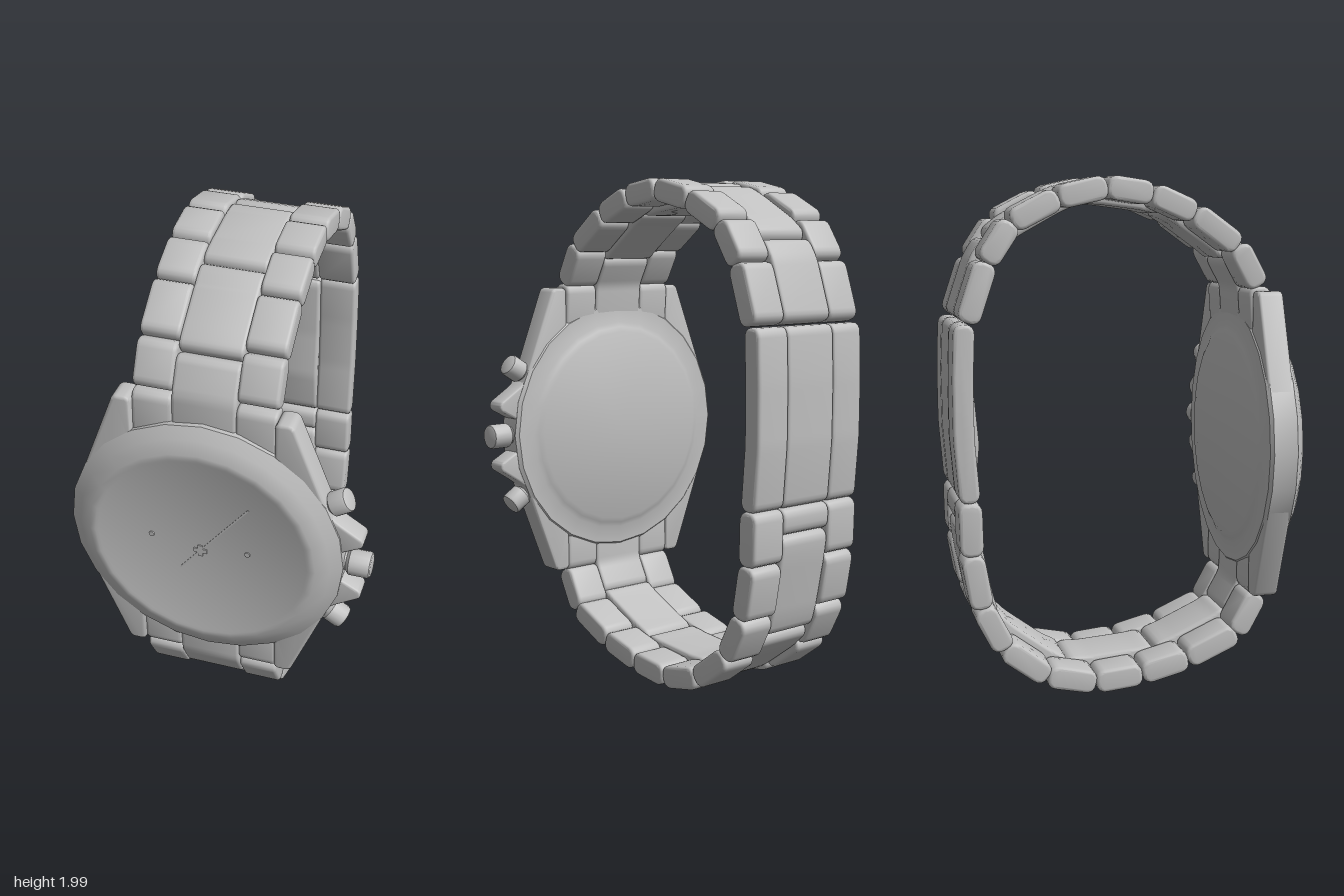
import * as THREE from 'three';
import { toCreasedNormals } from 'three/addons/utils/BufferGeometryUtils.js';

const steel = new THREE.MeshStandardMaterial({ name: 'steel', color: 0xc0c0c0 });
const CX = -0.046, CY = 0.97, CZ = 0.55; // middle of the watch case

function addMesh(parent, name, geometry, crease = 0.7) {
  const mesh = new THREE.Mesh(toCreasedNormals(geometry, crease), steel);
  mesh.name = name;
  parent.add(mesh);
  return mesh;
}

// Closed outline with every corner rounded by r
function roundedShape(pts, r) {
  const shape = new THREE.Shape();
  pts.forEach((p, i) => {
    const prev = pts[(i + pts.length - 1) % pts.length], next = pts[(i + 1) % pts.length];
    const toward = q => p.clone().lerp(q, Math.min(0.4, r / p.distanceTo(q)));
    const a = toward(prev), b = toward(next);
    if (i) shape.lineTo(a.x, a.y); else shape.moveTo(a.x, a.y);
    shape.quadraticCurveTo(p.x, p.y, b.x, b.y);
  });
  shape.closePath();
  return shape;
}

function extrude(shape, depth, bevel) {
  const g = new THREE.ExtrudeGeometry(shape, {
    depth: depth - 2 * bevel, bevelThickness: bevel, bevelSize: bevel, bevelSegments: 3, curveSegments: 4,
  });
  return g.translate(0, 0, bevel - depth / 2);
}

// Bracelet piece: a (z, y) centre line thickened and extruded along x
const BEVEL = 0.013;
function addLink(parent, name, line, x, width, thickness = 0.09) {
  const outer = [], inner = [], last = line.length - 1, h = thickness / 2 - BEVEL;
  line.forEach((p, i) => {
    const dir = line[Math.min(i + 1, last)].clone().sub(line[Math.max(i - 1, 0)]).normalize();
    const n = new THREE.Vector2(-dir.y, dir.x);
    if (n.dot(new THREE.Vector2(p.x, p.y - 1)) < 0) n.negate();
    const c = p.clone().addScaledVector(dir, i === 0 ? BEVEL : i === last ? -BEVEL : 0);
    outer.push(c.clone().addScaledVector(n, h));
    inner.unshift(c.clone().addScaledVector(n, -h));
  });
  const g = extrude(roundedShape([...outer, ...inner], 0.026), width, BEVEL);
  addMesh(parent, name, g.rotateY(-Math.PI / 2).translate(x, 0, 0));
}

const v = ([z, y]) => new THREE.Vector2(z, y);
const CENTER_W = 0.238, SIDE_W = 0.15, SIDE_X = 0.193;

// Half bracelet from the case to the clasp: two side rows, long centre links staggered against them
function addStrap(parent, name, anchor, joints) {
  const strap = new THREE.Group();
  strap.name = name;
  parent.add(strap);
  const J = joints.map(v), start = v(anchor);
  const mid = i => J[i].clone().lerp(J[i + 1], i === 0 ? 0.8 : 0.5);
  for (const s of [-1, 1]) {
    addLink(strap, 'sideEndLink', [start, J[0]], CX + s * SIDE_X, SIDE_W);
    for (let i = 0; i + 1 < J.length; i++)
      addLink(strap, 'sideLink', [J[i], J[i + 1]], CX + s * SIDE_X, SIDE_W);
  }
  addLink(strap, 'centerEndLink', [start, J[0], mid(0)], CX, CENTER_W);
  for (let i = 0; i + 1 < J.length; i += 2) {
    if (i + 3 < J.length) {
      // centre links are flatter than the side links they span
      const a = mid(i), b = mid(i + 2);
      const bend = (p, t) => p.clone().lerp(a.clone().lerp(b, t), 0.65);
      addLink(strap, 'centerLink', [a, bend(J[i + 1], 0.25), bend(J[i + 2], 0.75), b], CX, CENTER_W);
    } else addLink(strap, 'centerLink', [mid(i), ...J.slice(i + 1)], CX, CENTER_W);
  }
}

// Round bar with a softened end, pointing along an angle in the front plane and ending at (x, y)
function addButton(parent, name, x, y, angle, radius, length) {
  const b = 0.012;
  const profile = [[0, 0], [radius - b, 0], [radius, b], [radius, length - b],
    [radius - b * 0.3, length - b * 0.3], [radius - b, length], [0, length]];
  const g = new THREE.LatheGeometry(profile.map(v), 16).translate(0, -length, 0);
  g.rotateZ(angle - Math.PI / 2).translate(x, y, CZ);
  addMesh(parent, name, g);
}

export function createModel() {
  const watch = new THREE.Group();
  watch.name = 'wristwatch';

  // Bracelet
  addStrap(watch, 'upperStrap', [0.545, 1.38], [[0.53, 1.58], [0.445, 1.735], [0.275, 1.858], [0.11, 1.93],
    [-0.065, 1.956], [-0.25, 1.915], [-0.425, 1.825], [-0.52, 1.68], [-0.593, 1.46]]);
  addStrap(watch, 'lowerStrap', [0.545, 0.55], [[0.545, 0.365], [0.46, 0.208], [0.26, 0.118], [0.075, 0.07],
    [-0.11, 0.05], [-0.30, 0.088], [-0.465, 0.21], [-0.55, 0.375], [-0.587, 0.58], [-0.592, 0.785]]);

  // Folding clasp, in three strips with an inner leaf
  const clasp = new THREE.Group();
  clasp.name = 'clasp';
  watch.add(clasp);
  const claspLine = [[-0.605, 1.455], [-0.613, 1.25], [-0.612, 1.03], [-0.592, 0.785]].map(v);
  for (const s of [-1, 1]) addLink(clasp, 'claspSide', claspLine, CX + s * SIDE_X, SIDE_W, 0.08);
  addLink(clasp, 'claspCenter', claspLine, CX, CENTER_W, 0.078);
  const leafLine = [[-0.575, 1.44], [-0.575, 1.18], [-0.557, 0.98], [-0.575, 0.8]].map(v);
  addLink(clasp, 'claspLeaf', leafLine, CX, CENTER_W, 0.045);

  // Case plate with four tapered lugs
  const right = [[0.277, 0.4], [0.277, 0.583], [0.323, 0.583], [0.47, 0.2], [0.505, 0],
    [0.47, -0.2], [0.323, -0.583], [0.277, -0.583], [0.277, -0.4]];
  const left = right.map(([x, y]) => [-x, y]).reverse();
  const plate = extrude(roundedShape([...right, ...left].map(v), 0.012), 0.1, 0.012);
  addMesh(watch, 'caseWithLugs', plate.translate(CX, CY, CZ));

  // Round case: back cover, band, sloped bezel and glass
  const profile = [[0, 0.475], [0.405, 0.475], [0.425, 0.484], [0.445, 0.492], [0.515, 0.495], [0.528, 0.507],
    [0.528, 0.6], [0.485, 0.628], [0.437, 0.654], [0.415, 0.655], [0.405, 0.652], [0, 0.652]];
  const disc = new THREE.LatheGeometry(profile.map(v), 24).rotateX(Math.PI / 2);
  addMesh(watch, 'roundCase', disc.translate(CX, CY, 0));

  // Hands and pins on the face
  const hand = new THREE.BoxGeometry(0.006, 0.43, 0.004).translate(0, 0.085, 0).rotateZ(-0.67);
  addMesh(watch, 'secondHand', hand.translate(CX, CY, 0.652));
  for (const [x, y] of [[-0.235, 1.005], [0.135, 0.995]])
    addMesh(watch, 'handPin', new THREE.CylinderGeometry(0.011, 0.011, 0.009, 10).rotateX(Math.PI / 2).translate(x, y, 0.652));
  for (const turn of [0, Math.PI / 2])
    addMesh(watch, 'hubCross', new THREE.BoxGeometry(0.05, 0.018, 0.009).rotateZ(turn).translate(CX, CY, 0.652));

  // Crown, pushers and crown guards
  addButton(watch, 'crownStem', 0.5, CY, 0, 0.035, 0.08);
  addButton(watch, 'crown', 0.578, CY, 0, 0.05, 0.092);
  for (const s of [-1, 1]) {
    addButton(watch, 'pusherStem', 0.45, CY + s * 0.272, s * 0.57, 0.03, 0.1);
    addButton(watch, 'pusher', 0.485, CY + s * 0.292, s * 0.57, 0.046, 0.08);
    const guard = [[0.4, 0.23], [0.45, 0.19], [0.54, 0.133], [0.54, 0.113], [0.47, 0.075], [0.4, 0.06]];
    const g = extrude(roundedShape(guard.map(([x, y]) => v([x, s * y])), 0.01), 0.085, 0.008);
    addMesh(watch, 'crownGuard', g.translate(0, CY, CZ));
  }
  return watch;
}
